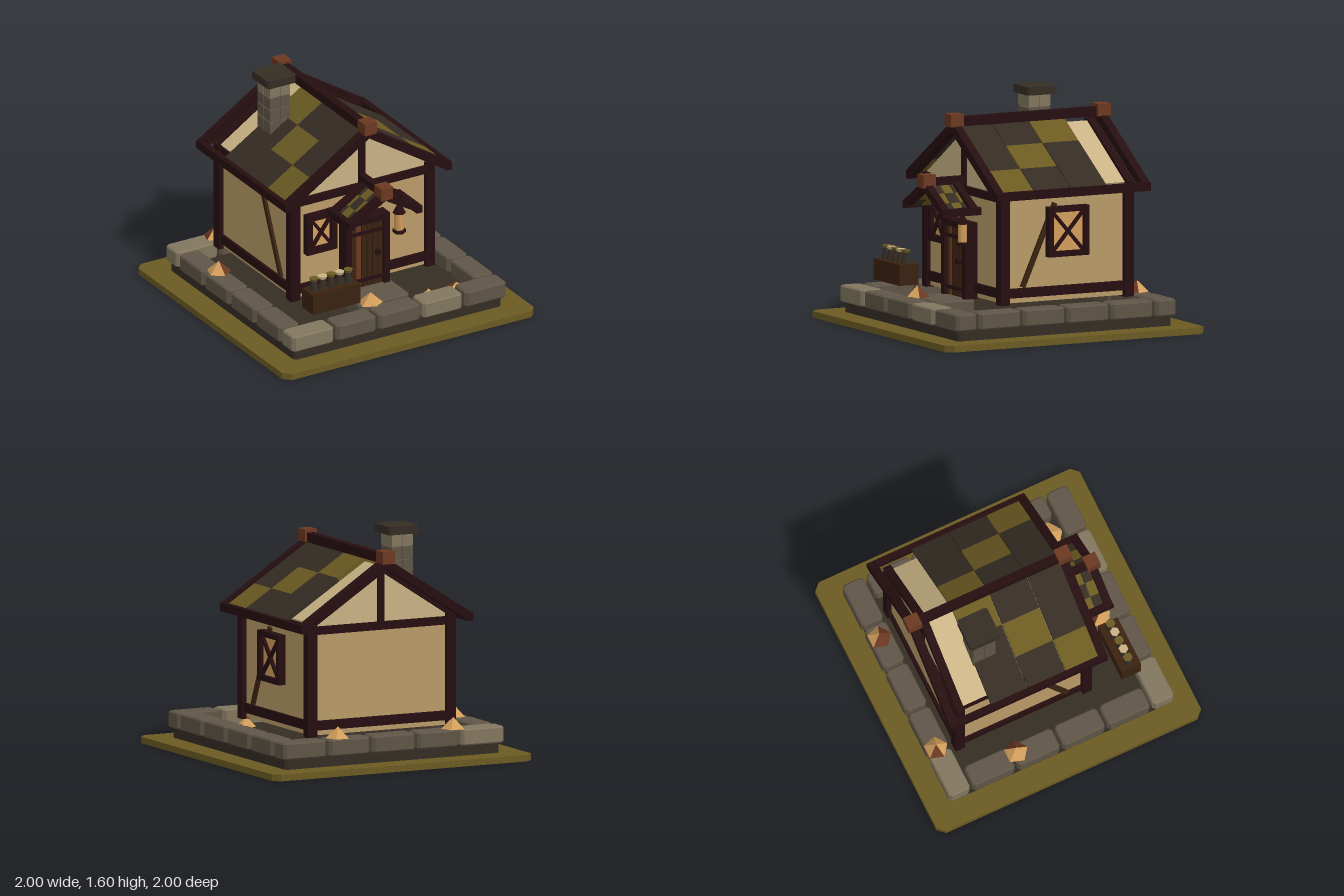
import * as THREE from 'three';

const mat = (name, color) => {
  const m = new THREE.MeshStandardMaterial({ color });
  m.name = name;
  return m;
};

export function createModel() {
  const M = {
    moss: mat('moss', 0x6b5a22), dark: mat('dark slate', 0x352d24),
    stone: mat('stone', 0x5f5547), pale: mat('pale stone', 0x81765e),
    timber: mat('timber', 0x260e10), cream: mat('cream plaster', 0xc9b385),
    wall: mat('wall plaster', 0xb99b67), amber: mat('amber', 0xd39e5b),
    rust: mat('rust', 0x6b3822), brown: mat('brown wood', 0x3a220f),
  };
  const root = new THREE.Group();
  root.name = 'cottage';
  let target = root;

  const add = (name, geo, m, x = 0, y = 0, z = 0) => {
    const mesh = new THREE.Mesh(geo, m);
    mesh.name = name;
    mesh.position.set(x, y, z);
    target.add(mesh);
    return mesh;
  };
  // Box given by its limits on each axis
  const box = (name, m, x0, x1, y0, y1, z0, z1) =>
    add(name, new THREE.BoxGeometry(x1 - x0, y1 - y0, z1 - z0), m, (x0 + x1) / 2, (y0 + y1) / 2, (z0 + z1) / 2);
  // Sloping bar between two points: w is horizontal, h is across the slope
  const bar = (name, m, a, b, w, h) => {
    const p = new THREE.Vector3(...a), q = new THREE.Vector3(...b);
    const mesh = add(name, new THREE.BoxGeometry(w, h, p.distanceTo(q)), m);
    mesh.position.copy(p).add(q).multiplyScalar(0.5);
    mesh.lookAt(q);
    return mesh;
  };
  // Slab with cut corners in plan and an optional chamfered rim
  const slab = (name, m, x0, x1, y0, y1, z0, z1, cut, bevel = 0) => {
    const w = (x1 - x0) / 2 - bevel, d = (z1 - z0) / 2 - bevel;
    const s = new THREE.Shape([
      [w, -d + cut], [w, d - cut], [w - cut, d], [-w + cut, d],
      [-w, d - cut], [-w, -d + cut], [-w + cut, -d], [w - cut, -d],
    ].map(([x, y]) => new THREE.Vector2(x, y)));
    const g = new THREE.ExtrudeGeometry(s, {
      depth: y1 - y0 - 2 * bevel, bevelEnabled: bevel > 0,
      bevelSize: bevel, bevelThickness: bevel, bevelSegments: 1,
    });
    g.translate(0, 0, bevel).rotateX(-Math.PI / 2);
    return add(name, g, m, (x0 + x1) / 2, y0, (z0 + z1) / 2);
  };
  const group = (name, build) => {
    const outer = target;
    target = new THREE.Group();
    target.name = name;
    outer.add(target);
    build(target);
    target = outer;
  };

  // Ground and plinth
  slab('grassBase', M.moss, -1, 1, 0, 0.045, -1, 1, 0.05);
  slab('plinth', M.dark, -0.825, 0.825, 0.045, 0.12, -0.825, 0.825, 0.02);

  group('stoneBorder', () => {
    const edge = [-0.85, -0.51, -0.175, 0.175, 0.51, 0.85];
    const rows = { 1: [1, 0, 0, 1, 0], '-1': [1, 0, 0, 0, 0] };
    for (const s of [1, -1]) {
      const z0 = s > 0 ? 0.69 : -0.85;
      for (let i = 0; i < 5; i++)
        slab('borderStone', rows[s][i] ? M.pale : M.stone, edge[i] + (i ? 0.01 : 0),
          edge[i + 1] - (i < 4 ? 0.01 : 0), 0.115, 0.23, z0, z0 + 0.16, 0.015, 0.01);
      const x0 = s > 0 ? 0.69 : -0.85;
      for (let i = 0; i < 4; i++)
        slab('borderStone', M.stone, x0, x0 + 0.16, 0.115, 0.23,
          -0.68 + i * 0.34 + 0.01, -0.34 + i * 0.34 - 0.01, 0.015, 0.01);
    }
  });
  slab('doorStep', M.stone, -0.2, 0.2, 0.12, 0.225, 0.36, 0.65, 0.015, 0.01);

  // Faceted two-tone leaf heaps: [x, z, base, height, radius, sides, rust start, rust facets]
  for (const [x, z, y, h, r, n, start, k] of [
    [-0.75, -0.3, 0.23, 0.08, 0.085, 5, 0, 2], [-0.49, -0.78, 0.23, 0.08, 0.085, 5, 3, 1],
    [0.4, -0.78, 0.23, 0.08, 0.085, 5, 3, 3], [-0.11, 0.64, 0.225, 0.08, 0.085, 5, 1, 2],
    [0.38, 0.59, 0.12, 0.07, 0.07, 6, 0, 0], [0.6, 0.59, 0.12, 0.065, 0.11, 5, 3, 1]]) {
    const a = Math.PI * 2 / n;
    if (k) add('leafHeapDark', new THREE.ConeGeometry(r, h, k, 1, true, start * a, k * a).toNonIndexed(), M.rust, x, y + h / 2, z)
      .geometry.computeVertexNormals();
    add('leafHeap', new THREE.ConeGeometry(r, h, n - k, 1, true, (start + k) * a, (n - k) * a).toNonIndexed(), M.amber, x, y + h / 2, z)
      .geometry.computeVertexNormals();
  }

  // Walls and timber frame
  box('walls', M.wall, -0.535, 0.535, 0.235, 0.975, -0.64, 0.33);
  for (const s of [1, -1]) {
    for (const z of [0.325, -0.635])
      box('cornerPost', M.timber, s * 0.535 - 0.035, s * 0.535 + 0.035, 0.225, 1.01, z - 0.035, z + 0.035);
    box('sideSill', M.timber, s * 0.53 - 0.025, s * 0.53 + 0.025, 0.27, 0.335, -0.62, 0.31);
    box('sidePlate', M.timber, s * 0.53 - 0.025, s * 0.53 + 0.025, 0.945, 1.0, -0.62, 0.31);
    bar('sideBrace', M.brown, [s * 0.54, 0.34, 0.18], [s * 0.54, 0.905, -0.07], 0.03, 0.035);
  }
  for (const z of [0.325, -0.635]) {
    box('endSill', M.timber, -0.51, 0.51, 0.27, 0.335, z - 0.025, z + 0.025);
    box('endBeam', M.timber, -0.52, 0.52, 0.93, 0.985, z - 0.03, z + 0.03);
    box('kingPost', M.timber, -0.025, 0.025, 0.98, 1.35, z - 0.025, z + 0.025);
  }
  // Gable ends
  const gable = new THREE.Shape([[-0.54, 0.97], [0.54, 0.97], [0.54, 1.0], [0, 1.355], [-0.54, 1.0]]
    .map(([x, y]) => new THREE.Vector2(x, y)));
  for (const z of [0.3, -0.64])
    add('gablePanel', new THREE.ExtrudeGeometry(gable, { depth: 0.03, bevelEnabled: false }), M.cream, 0, 0, z);

  // Main roof
  group('roof', () => {
    const tiles = [['dark', 'dark', 'moss'], ['dark', 'moss', 'dark'], ['moss', 'dark', 'dark']];
    const zs = [0.385, 0.135, -0.15, -0.43];
    const y = (x) => 1.39 - 0.63 * x;
    for (const s of [1, -1]) {
      bar('roofBoard', M.cream, [0, 1.357, -0.14], [s * 0.545, 1.003, -0.14], 0.94, 0.025);
      tiles.forEach((col, i) => col.forEach((c, j) => {
        const a = j * 0.21, b = a + 0.21, z = (zs[i] + zs[i + 1]) / 2;
        bar('roofTile', M[c], [s * a, y(a), z], [s * b, y(b), z], zs[i] - zs[i + 1] - 0.006, 0.03);
      }));
      for (const z of [0.41, -0.72])
        bar('bargeBoard', M.timber, [-s * 0.01, 1.4, z], [s * 0.64, 0.985, z], 0.06, 0.06);
      bar('gableRafter', M.timber, [0, 1.365, -0.635], [s * 0.57, 0.995, -0.635], 0.055, 0.055);
      box('eaveBeam', M.timber, s * 0.64 - 0.022, s * 0.64 + 0.022, 0.957, 1.015, -0.75, 0.435);
    }
    box('ridgeBeam', M.timber, -0.028, 0.028, 1.395, 1.46, -0.72, 0.42);
    for (const z of [0.415, -0.72]) box('ridgeCap', M.rust, -0.047, 0.047, 1.395, 1.482, z - 0.05, z + 0.05);
  });

  // Chimney of stacked blocks
  group('chimney', () => {
    for (let r = 0; r < 5; r++)
      for (const i of [0, 1]) for (const j of [0, 1]) {
        const x = -0.362 + i * 0.082, z = -0.436 + j * 0.085, y = 1.095 + r * 0.09;
        box('chimneyBlock', r > 3 ? M.pale : M.stone, x, x + 0.078, y, y + 0.083, z, z + 0.081);
      }
    slab('chimneyCap', M.dark, -0.393, -0.165, 1.54, 1.597, -0.47, -0.243, 0.015);
  });

  // Porch roof
  group('porch', () => {
    const y = (x) => 1.0 - 0.65 * x;
    for (const s of [1, -1]) {
      for (const z of [0.63, 0.41])
        bar('porchRafter', M.timber, [-s * 0.01, 1.01, z], [s * 0.275, 0.845, z], 0.055, 0.05);
      box('porchEave', M.timber, s * 0.268 - 0.022, s * 0.268 + 0.022, 0.818, 0.87, 0.36, 0.66);
      for (let i = 0; i < 3; i++) for (let j = 0; j < 3; j++) {
        const a = j * 0.085, z = 0.425 + i * 0.075;
        bar('porchTile', (i + j) % 2 ? M.moss : M.dark, [s * a, y(a), z], [s * (a + 0.085), y(a + 0.085), z], 0.068, 0.02);
      }
    }
    box('porchRidge', M.timber, -0.025, 0.025, 1.0, 1.052, 0.33, 0.63);
    box('porchCap', M.rust, -0.047, 0.047, 0.99, 1.08, 0.582, 0.678);
  });

  // Door
  group('door', () => {
    box('doorBacking', M.timber, -0.14, 0.14, 0.225, 0.73, 0.33, 0.39);
    for (const s of [1, -1]) box('doorJamb', M.timber, s * 0.152 - 0.022, s * 0.152 + 0.022, 0.225, 0.75, 0.33, 0.425);
    box('doorLintel', M.timber, -0.17, 0.17, 0.705, 0.75, 0.33, 0.425);
    for (let i = 0; i < 6; i++) {
      const x = -0.126 + i * 0.043;
      box('doorPlank', i === 1 ? M.rust : M.brown, x, x + 0.036, 0.23, 0.705, 0.38, 0.41);
    }
    for (const y of [0.64, 0.285]) box('doorStrap', M.timber, -0.13, 0.13, y - 0.012, y + 0.012, 0.4, 0.42);
    const knob = add('doorKnob', new THREE.CylinderGeometry(0.02, 0.02, 0.03, 8), M.timber, 0.08, 0.475, 0.425);
    knob.rotation.x = Math.PI / 2;
  });

  // Windows: built facing +z, then placed
  const windowAt = (w, h, t, place) => group('window', (g) => {
    box('windowPane', M.amber, -w + t, w - t, -h + t, h - t, 0, 0.025);
    for (const s of [1, -1]) {
      box('windowSide', M.timber, s * (w - t / 2) - t / 2, s * (w - t / 2) + t / 2, -h, h, 0, 0.055);
      box('windowRail', M.timber, -w + t, w - t, s * (h - t / 2) - t / 2, s * (h - t / 2) + t / 2, 0, 0.055);
      bar('windowCross', M.timber, [-w + t, -s * (h - t), 0.035], [w - t, s * (h - t), 0.035], 0.025, 0.02);
    }
    place(g);
  });
  windowAt(0.12, 0.148, 0.045, (g) => g.position.set(-0.335, 0.703, 0.325));
  windowAt(0.155, 0.172, 0.038, (g) => { g.position.set(0.55, 0.712, -0.15); g.rotation.y = Math.PI / 2; });

  // Hanging lantern
  group('lantern', (g) => {
    add('lanternBase', new THREE.CylinderGeometry(0.046, 0.046, 0.022, 6), M.timber, 0, 0.62, 0);
    add('lanternGlass', new THREE.CylinderGeometry(0.034, 0.034, 0.13, 6), M.amber, 0, 0.69, 0);
    add('lanternRoof', new THREE.CylinderGeometry(0.018, 0.046, 0.055, 6), M.timber, 0, 0.782, 0);
    box('lanternHook', M.timber, -0.008, 0.008, 0.8, 0.87, -0.008, 0.008);
    g.position.set(0.22, 0, 0.47);
  });

  // Crate of bottles
  group('bottleCrate', () => {
    box('crate', M.brown, -0.61, -0.235, 0.287, 0.432, 0.567, 0.713);
    for (let i = 0; i < 5; i++) {
      const x = -0.558 + i * 0.068;
      add('bottle', new THREE.CylinderGeometry(0.02, 0.035, 0.08, 6), M.dark, x, 0.467, 0.637).rotation.y = Math.PI / 6;
      add('bottleCap', new THREE.CylinderGeometry(0.034, 0.028, 0.02, 6), i % 2 ? M.cream : M.moss, x, 0.515, 0.637).rotation.y = Math.PI / 6;
    }
  });
  return root;
}
